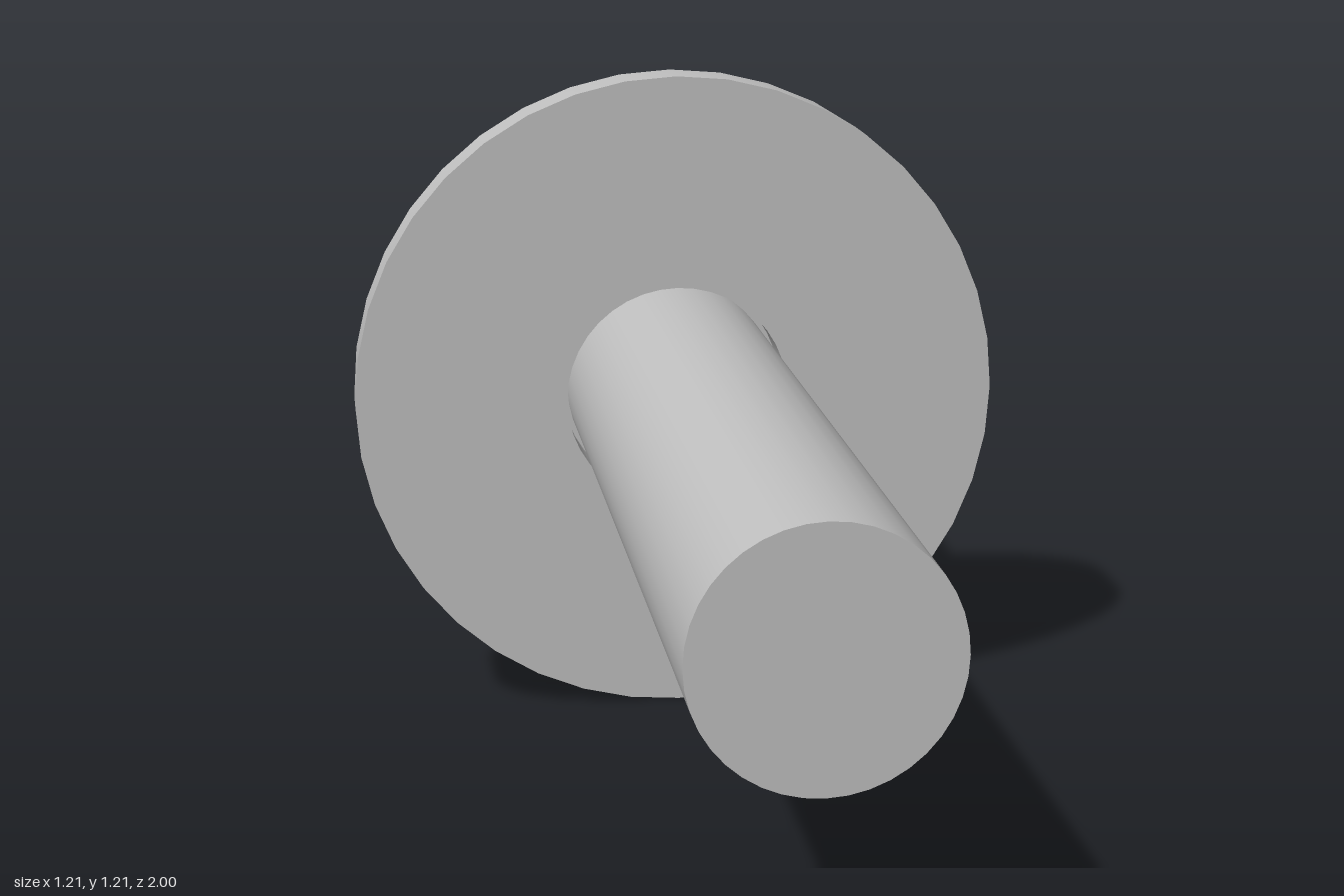
import * as THREE from 'three';
import { toCreasedNormals } from 'three/addons/utils/BufferGeometryUtils.js';

const SEGMENTS = 40;
const AXIS_Y = 0.605;

export function createModel() {
  const group = new THREE.Group();
  group.name = 'boltWithWasher';
  const steel = new THREE.MeshStandardMaterial({ color: 0xc0c0c0 });
  steel.name = 'grey steel';

  // Places a y-axis geometry along z, centred on the bolt axis
  function addPart(name, geometry, z) {
    geometry.rotateX(Math.PI / 2);
    const mesh = new THREE.Mesh(geometry, steel);
    mesh.name = name;
    mesh.position.set(0, AXIS_Y, z);
    group.add(mesh);
  }

  // Shank and round head
  addPart('shank', new THREE.CylinderGeometry(0.2, 0.2, 1.6, SEGMENTS), 0.2);
  addPart('head', new THREE.CylinderGeometry(0.34, 0.34, 0.4, SEGMENTS), -0.8);

  // Washer with a clearance hole slightly wider than the shank
  const inner = 0.21, outer = 0.605, half = 0.05;
  const profile = [
    [inner, -half], [outer, -half], [outer, half], [inner, half], [inner, -half],
  ].map(([r, y]) => new THREE.Vector2(r, y));
  addPart('washer', toCreasedNormals(new THREE.LatheGeometry(profile, SEGMENTS), 0.6), -0.55);

  return group;
}
